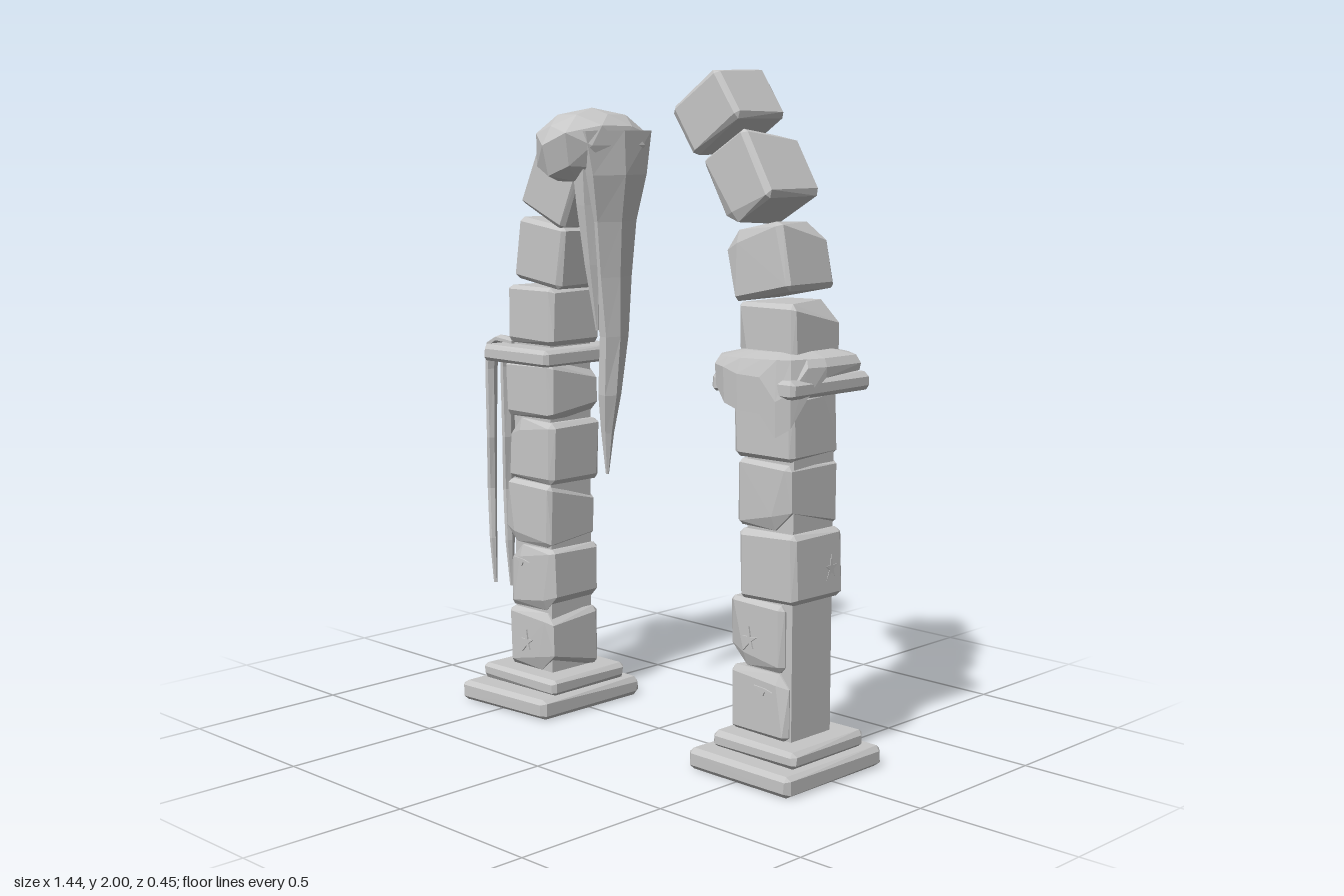
import * as THREE from 'three';
import { ConvexGeometry } from 'three/addons/geometries/ConvexGeometry.js';

const stone = new THREE.MeshStandardMaterial({ color: 0xc6c6c6 });
stone.name = 'grey stone';

let seed = 11;
const rnd = () => (seed = (seed * 16807) % 2147483647) / 2147483647;

function add(parent, name, geometry) {
  const mesh = new THREE.Mesh(geometry, stone);
  mesh.name = name;
  parent.add(mesh);
  return mesh;
}

// Bevelled stone: three points per corner, each lying on one face; a few corners are chipped
function stoneGeometry(w, h, d, bevel, skew = 0.006, chips = 0.2) {
  const pts = [];
  for (const sx of [-1, 1]) for (const sz of [-1, 1]) {
    const kx = rnd() * skew, kz = rnd() * skew;
    for (const sy of [-1, 1]) {
      const b = () => bevel * (0.7 + 0.6 * rnd());
      const chip = rnd() < chips ? 0.02 + 0.03 * rnd() : 0;
      const x = w / 2 - kx, y = h / 2, z = d / 2 - kz;
      const p = (a, e, c) => pts.push(new THREE.Vector3(sx * a, sy * e, sz * c));
      p(x, y - b() - chip, z - b());
      p(x - b() - chip, y, z - b());
      p(x - b() - chip, y - b() - chip * 0.6, z);
    }
  }
  return new ConvexGeometry(pts);
}

// Faceted skin over rings of points, closed at both ends
function skin(rings) {
  const pos = [], n = rings[0].length;
  const tri = (...v) => v.forEach((p) => pos.push(p.x, p.y, p.z));
  const mid = (r) => r.reduce((s, p) => s.add(p), new THREE.Vector3()).divideScalar(n);
  const first = rings[0], last = rings[rings.length - 1], c0 = mid(first), c1 = mid(last);
  for (let i = 0; i < n; i++) {
    const j = (i + 1) % n;
    for (let k = 0; k < rings.length - 1; k++) {
      const a = rings[k], b = rings[k + 1];
      tri(a[i], a[j], b[j]);
      tri(a[i], b[j], b[i]);
    }
    tri(c0, first[j], first[i]);
    tri(c1, last[i], last[j]);
  }
  const g = new THREE.BufferGeometry();
  g.setAttribute('position', new THREE.Float32BufferAttribute(pos, 3));
  g.computeVertexNormals();
  return g;
}

// Hanging strand: path of [x, y, z, half width along z, half thickness]
function strandGeometry(path) {
  return skin(path.map(([x, y, z, w, t], k) => {
    const a = path[Math.max(k - 1, 0)], b = path[Math.min(k + 1, path.length - 1)];
    const d = new THREE.Vector2(b[0] - a[0], b[1] - a[1]).normalize();
    return [0, 1, 2, 3, 4, 5].map((i) => {
      const u = (i / 6) * Math.PI * 2, c = Math.cos(u) * t;
      return new THREE.Vector3(x - d.y * c, y + d.x * c, z + Math.sin(u) * w);
    });
  }));
}

// Column: blocks of [x, y, width, height, lean]
function column(name, baseX, collarX, blocks) {
  const g = new THREE.Group();
  g.name = name;
  add(g, 'baseSlab', stoneGeometry(0.41, 0.062, 0.46, 0.014, 0.03, 0)).position.set(baseX, 0.031, 0);
  add(g, 'baseStep', stoneGeometry(0.34, 0.048, 0.335, 0.012, 0.015, 0)).position.set(baseX, 0.09, 0);
  add(g, 'collar', stoneGeometry(0.315, 0.052, 0.34, 0.012, 0.01, 0)).position.set(collarX, 1.128, 0);
  add(g, 'core', new THREE.BoxGeometry(0.17, 1.2, 0.17)).position.set(baseX, 0.68, 0);
  blocks.forEach(([x, y, w, h, lean], i) => {
    const m = add(g, 'block' + (i + 1), stoneGeometry(w, h, 0.215, 0.014));
    m.position.set(x, y, 0);
    m.rotation.set(0, (rnd() - 0.5) * 0.05, lean);
  });
  return g;
}

// Chisel marks: thin jagged stars and slashes
const starShape = new THREE.Shape([...Array(10).keys()].map((i) => {
  const r = i % 2 ? 0.011 : [0.04, 0.03, 0.042, 0.03, 0.036][i / 2];
  const a = Math.PI / 2 + (i / 10) * Math.PI * 2;
  return new THREE.Vector2(Math.cos(a) * r * 0.85, Math.sin(a) * r);
}));
const slashShape = new THREE.Shape([[-0.035, 0.012], [-0.012, -0.002], [0, -0.014], [0.006, -0.002],
  [0.035, 0.002], [0.006, 0.009]].map(([x, y]) => new THREE.Vector2(x, y)));
const markGeometry = (shape) => new THREE.ExtrudeGeometry(shape, { depth: 0.005, bevelEnabled: false });

export function createModel() {
  seed = 11;
  const model = new THREE.Group();
  model.name = 'brokenArch';

  const left = column('rightHandColumn', -0.477, -0.475, [
    [-0.475, 0.21, 0.21, 0.19, 0], [-0.47, 0.413, 0.21, 0.2, 0.01], [-0.49, 0.62, 0.21, 0.2, -0.02],
    [-0.47, 0.823, 0.215, 0.195, -0.03], [-0.48, 1.015, 0.225, 0.175, 0.02], [-0.47, 1.25, 0.215, 0.18, 0],
    [-0.425, 1.447, 0.215, 0.195, -0.14], [-0.365, 1.675, 0.215, 0.25, -0.42],
  ]);
  const right = column('leftHandColumn', 0.523, 0.52, [
    [0.497, 0.21, 0.215, 0.19, 0], [0.485, 0.408, 0.21, 0.195, 0], [0.528, 0.61, 0.215, 0.2, 0.03],
    [0.51, 0.812, 0.21, 0.19, -0.01], [0.502, 1.007, 0.225, 0.185, 0.02], [0.515, 1.258, 0.21, 0.19, 0.02],
    [0.474, 1.465, 0.215, 0.195, 0.2], [0.405, 1.695, 0.195, 0.215, 0.53], [0.276, 1.875, 0.21, 0.165, 0.6],
  ]);
  model.add(left, right);

  // Marks: [column, star?, x, y, z, turn about y]
  const F = 0.104, P = Math.PI;
  [
    [left, 1, -0.49, 0.2, F, 0], [left, 0, -0.51, 0.46, F, 0], [left, 0, -0.47, 0.2, -F, P],
    [left, 1, -0.47, 0.41, -F, P], [right, 1, 0.465, 0.39, F, 0], [right, 0, 0.52, 0.25, F, 0],
    [right, 1, 0.49, 0.2, -F, P], [right, 0, 0.49, 0.41, -F, P], [right, 0, 0.6, 0.25, 0.04, P / 2],
    [right, 1, 0.631, 0.6, -0.05, P / 2], [left, 1, -0.573, 0.41, 0, -P / 2],
  ].forEach(([g, star, x, y, z, turn]) => {
    const m = add(g, star ? 'starMark' : 'slashMark', markGeometry(star ? starShape : slashShape));
    m.position.set(x, y, z);
    m.rotation.y = turn;
  });

  // Leafy clump over the broken top, made uneven by a wave rule
  const clump = new THREE.IcosahedronGeometry(1, 1);
  const p = clump.attributes.position;
  for (let i = 0; i < p.count; i++) {
    const x = p.getX(i), y = p.getY(i), z = p.getZ(i);
    const k = 1 + 0.07 * Math.sin(5 * x + 3 * z) * Math.cos(4 * y + 2 * z);
    const sag = y < 0 ? Math.abs(z) * 0.035 : 0;
    p.setXYZ(i, x * k * 0.135, y * k * 0.112 - sag, z * k * 0.205);
  }
  clump.computeVertexNormals();
  add(model, 'clump', clump).position.set(-0.275, 1.778, 0.012);

  // Trailing growth below the clump
  add(model, 'longTrail', strandGeometry([
    [-0.195, 1.82, 0.0, 0.16, 0.05], [-0.19, 1.69, 0.0, 0.13, 0.05], [-0.2, 1.55, 0.0, 0.095, 0.042],
    [-0.2, 1.38, 0.0, 0.075, 0.035], [-0.193, 1.2, 0.0, 0.055, 0.028], [-0.203, 1.02, 0.01, 0.04, 0.03],
    [-0.213, 0.9, 0.01, 0.022, 0.018], [-0.215, 0.77, 0.01, 0.005, 0.005]]));
  add(model, 'shortTrail', strandGeometry([
    [-0.22, 1.78, 0.07, 0.07, 0.05], [-0.22, 1.6, 0.07, 0.05, 0.035], [-0.215, 1.42, 0.065, 0.03, 0.022],
    [-0.21, 1.22, 0.055, 0.005, 0.005]]));

  // Vines draped over the collar: [z, x shift, lowest y, half width]
  [[-0.06, 0.012, 0.28, 0.03], [-0.015, -0.022, 0.33, 0.036], [0.075, 0.0, 0.36, 0.026]].forEach(([z, s, low, w], i) => {
    const y = (t) => 1.1 + (low - 1.1) * t;
    add(model, 'vine' + (i + 1), strandGeometry([
      [-0.56, 1.158, z, w, 0.008], [-0.635, 1.165, z, w * 1.1, 0.011], [-0.675 + s, 1.145, z, w, 0.014],
      [-0.685 + s, y(0.05), z, w * 0.9, 0.013], [-0.677 + s, y(0.35), z + 0.008, w * 0.7, 0.013],
      [-0.695 + s, y(0.58), z - 0.006, w * 0.6, 0.014], [-0.68 + s, y(0.8), z + 0.004, w * 0.5, 0.011],
      [-0.677 + s, low, z, w * 0.2, 0.006]]));
  });

  // Growth spread on the other collar, dripping at the front: [x, z, lowest y]
  const rim = [[0.69, -0.1, 1.165], [0.685, 0.04, 1.155], [0.668, 0.1, 1.1], [0.65, 0.15, 1.02], [0.615, 0.175, 0.995],
    [0.57, 0.19, 1.06], [0.5, 0.205, 1.065], [0.45, 0.205, 1.08], [0.41, 0.195, 1.125], [0.375, 0.15, 1.16],
    [0.345, 0.02, 1.17], [0.36, -0.14, 1.17], [0.43, -0.19, 1.17], [0.53, -0.185, 1.175], [0.62, -0.15, 1.17]];
  const ring = (s, height) => rim.map(([x, z, low]) =>
    new THREE.Vector3(0.52 + (x - 0.52) * s, height(low), z * s));
  add(model, 'drapedGrowth', skin([
    ring(0.6, () => 1.222), ring(0.93, () => 1.208), ring(1, (l) => Math.min(1.185, l + 0.1)),
    ring(0.98, (l) => l), ring(0.9, (l) => l + 0.012), ring(0.85, () => 1.158)]));

  return model;
}
